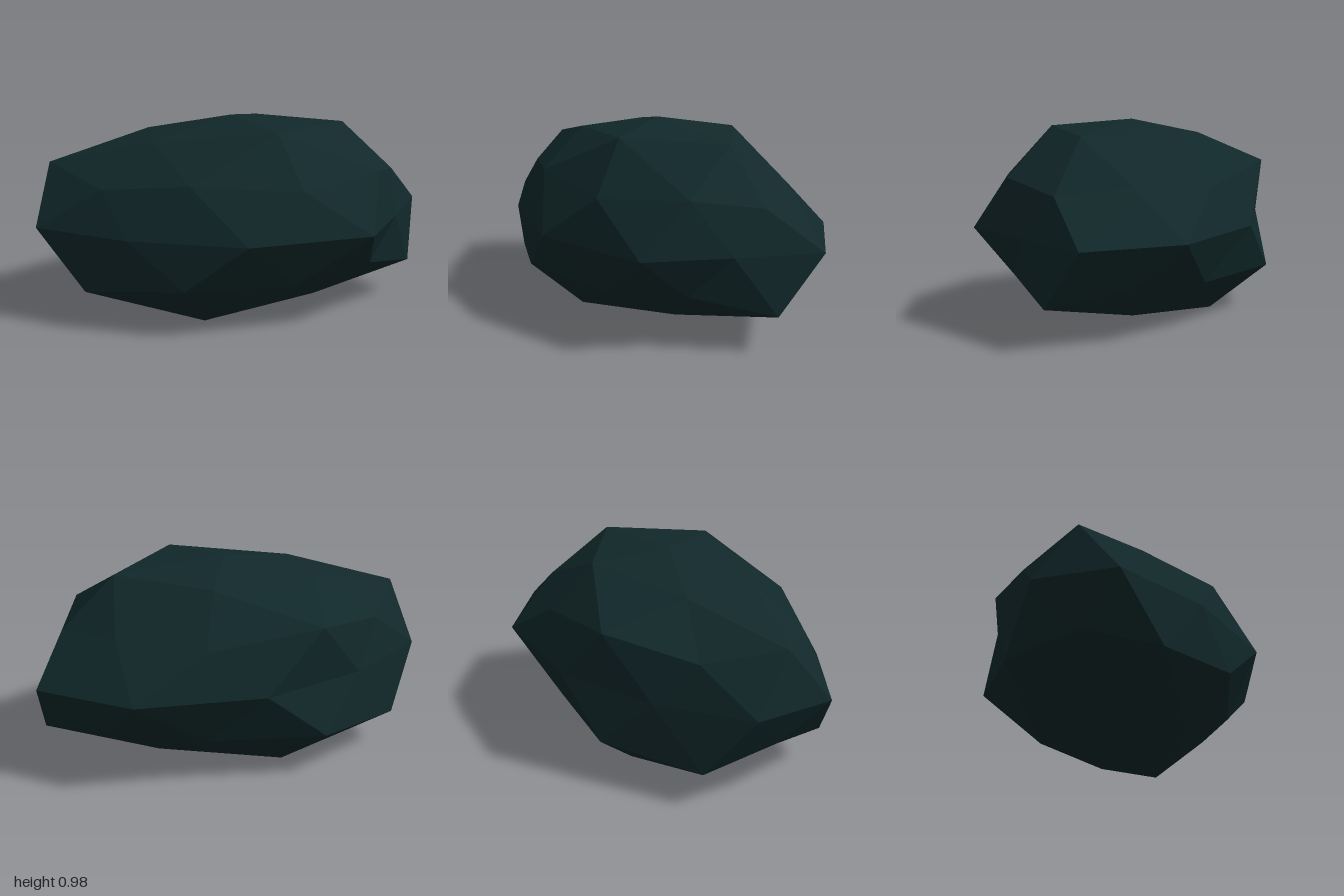
import * as THREE from 'three';

// Rock: a subdivided icosahedron, each corner pushed in or out, then flattened.
const SCALE = new THREE.Vector3(1, 0.5, 0.655);
const CENTRE = new THREE.Vector3(-0.007, 0.475, -0.025);

// Rings from top to bottom: height on the unit sphere (one value, or two alternating),
// start angle in degrees, and how far each corner is pushed out.
const RINGS = [
  { y: [0.851], start: 0, push: [1.08, 1.11, 0.97, 0.97, 1.05] },
  { y: [0.447, 0.526], start: 0, push: [0.93, 1.0, 1.01, 0.98, 0.92, 1.08, 0.95, 1.12, 0.965, 0.93] },
  { y: [0], start: 18, push: [0.862, 1.055, 1.06, 0.952, 1.04, 1.01, 0.91, 0.985, 1.07, 1.06] },
  { y: [-0.526, -0.447], start: 0, push: [1.1, 0.91, 0.95, 1.06, 1.1, 0.96, 1.13, 1.12, 0.95, 0.95] },
  { y: [-0.851], start: 36, push: [0.93, 1.085, 0.87, 1.11, 0.96] },
];
const TOP = 1.01, BOTTOM = 0.9;

function rockGeometry() {
  const points = [];
  const add = (x, y, z, r) =>
    points.push(new THREE.Vector3(x, y, z).multiplyScalar(r).multiply(SCALE).add(CENTRE)) - 1;

  const top = add(0, 1, 0, TOP);
  const bottom = add(0, -1, 0, BOTTOM);
  const [capUp, up, mid, low, capLow] = RINGS.map(({ y, start, push }) =>
    push.map((r, i) => {
      const a = THREE.MathUtils.degToRad(start + (i * 360) / push.length);
      const h = y[i % y.length], w = Math.sqrt(1 - h * h);
      return add(w * Math.cos(a), h, w * Math.sin(a), r);
    }));

  const at = (ring, i) => ring[(i + ring.length) % ring.length];
  const index = [];
  const face = (a, b, c, flip) => index.push(...(flip ? [a, c, b] : [a, b, c]));

  // Cap around a pole; offset is the ring corner below the first cap corner
  const cap = (pole, inner, outer, offset, flip) => {
    for (let k = 0; k < 5; k++) {
      const p = inner[k], q = at(inner, k + 1), j = 2 * k + offset;
      face(pole, q, p, flip);
      face(p, q, at(outer, j + 1), flip);
      face(p, at(outer, j + 1), at(outer, j), flip);
      face(p, at(outer, j), at(outer, j - 1), flip);
    }
  };
  // Band of triangles between a ring and the middle ring
  const band = (ring, flip) => {
    for (let j = 0; j < 10; j++) {
      face(ring[j], at(ring, j + 1), mid[j], flip);
      face(ring[j], mid[j], at(mid, j - 1), flip);
    }
  };
  cap(top, capUp, up, 0, false);
  band(up, false);
  band(low, true);
  cap(bottom, capLow, low, 1, true);

  const geometry = new THREE.BufferGeometry().setFromPoints(points);
  geometry.setIndex(index);
  const faceted = geometry.toNonIndexed();
  faceted.computeVertexNormals();
  return faceted;
}

export function createModel() {
  const stone = new THREE.MeshStandardMaterial({ color: 0x11282a, flatShading: true });
  stone.name = 'dark teal stone';

  const rock = new THREE.Mesh(rockGeometry(), stone);
  rock.name = 'rock';

  const group = new THREE.Group();
  group.name = 'boulder';
  group.add(rock);
  return group;
}
